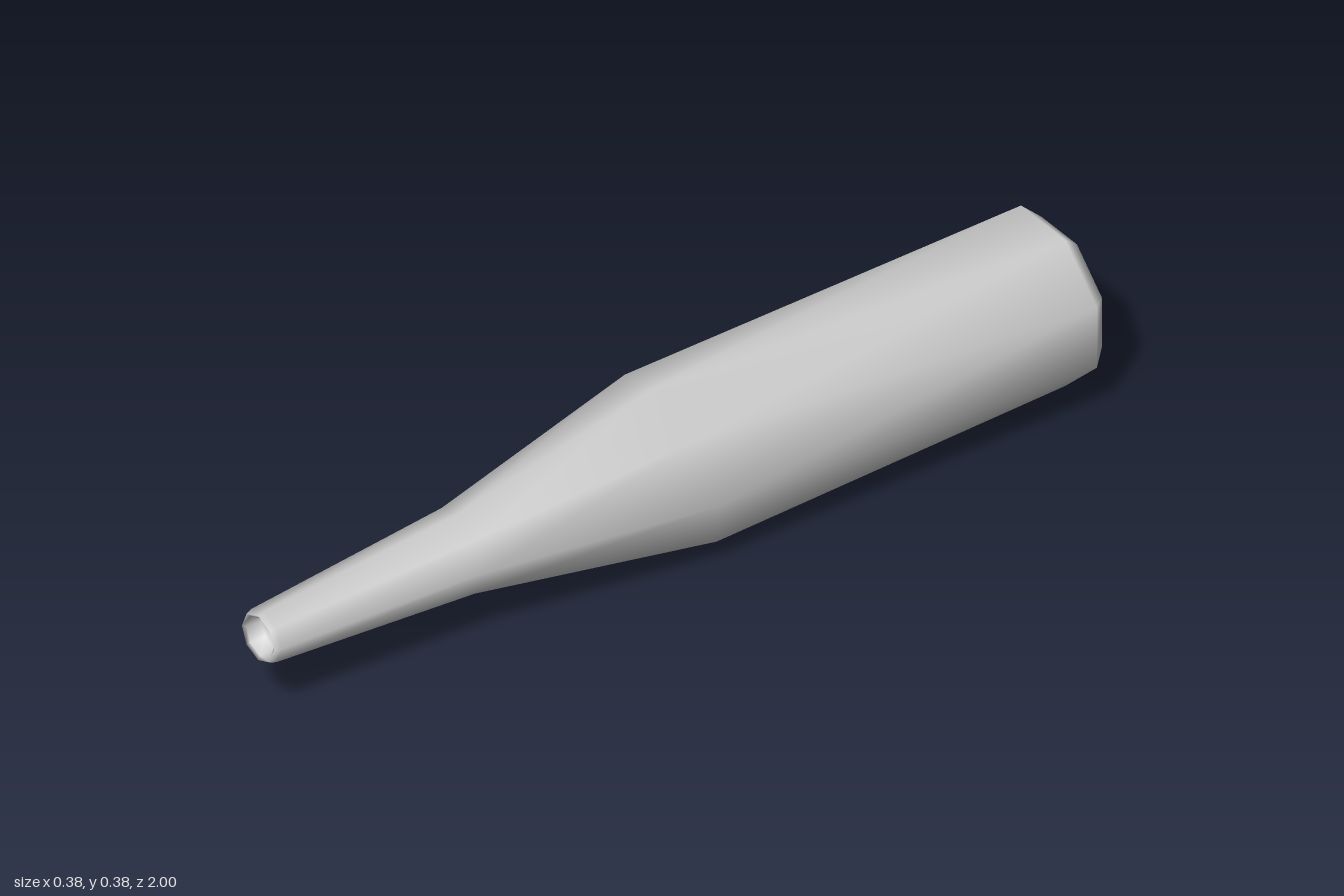
import * as THREE from 'three';

const SIDES = 8;
const AXIS_Y = 0.19;

// Cross-sections from the punt in the base to the mouth:
// z, radius, twist (in sides), tilt in y, tilt in x
const RINGS = [
  [-0.96, 0.00, 0.5, 0, 0],
  [-0.965, 0.095, 0.5, 0, 0],
  [-1.00, 0.125, 0.5, 0, 0],
  [-1.00, 0.155, 0.5, 0, 0],
  [-0.96, 0.194, 0.5, 0, 0],
  [-0.03, 0.19, 0, 0.045, 0.025],
  [0.50, 0.092, 0, 0, 0.01],
  [0.985, 0.059, 0, 0, 0],
  [1.00, 0.054, 0, 0, 0],
  [0.995, 0.046, 0, 0, 0],
  [0.96, 0.042, 0, 0, 0],
  [0.96, 0.00, 0, 0, 0],
];

// Loft a closed skin through the rings, with smooth normals
function loft(rings) {
  const positions = [];
  const index = [];
  const first = [];
  for (const [z, r, twist, tiltY, tiltX] of rings) {
    first.push(positions.length / 3);
    const count = r === 0 ? 1 : SIDES;
    for (let i = 0; i < count; i++) {
      const a = ((i + twist) / SIDES) * Math.PI * 2;
      const c = Math.cos(a), s = Math.sin(a);
      positions.push(r * c, AXIS_Y + r * s, z + tiltY * s + tiltX * c);
    }
  }
  for (let k = 0; k < rings.length - 1; k++) {
    const startPole = rings[k][1] === 0;
    const endPole = rings[k + 1][1] === 0;
    for (let i = 0; i < SIDES; i++) {
      const j = (i + 1) % SIDES;
      const a = first[k] + (startPole ? 0 : i), b = first[k] + (startPole ? 0 : j);
      const c = first[k + 1] + (endPole ? 0 : i), d = first[k + 1] + (endPole ? 0 : j);
      // Diagonal b-c suits both straight and half-twisted strips
      if (!startPole) index.push(a, b, rings[k][2] !== rings[k + 1][2] ? d : c);
      if (!endPole) {
        if (rings[k][2] !== rings[k + 1][2]) index.push(a, d, c);
        else index.push(b, d, c);
      }
    }
  }
  const geometry = new THREE.BufferGeometry();
  geometry.setAttribute('position', new THREE.Float32BufferAttribute(positions, 3));
  geometry.setIndex(index);
  geometry.computeVertexNormals();
  return geometry;
}

export function createModel() {
  const group = new THREE.Group();
  group.name = 'lyingBottle';

  // Bottle skin: dished base, body, shoulder, neck and mouth
  const material = new THREE.MeshStandardMaterial({ color: 0xcccccc });
  const bottle = new THREE.Mesh(loft(RINGS), material);
  bottle.name = 'bottle';
  group.add(bottle);
  return group;
}
